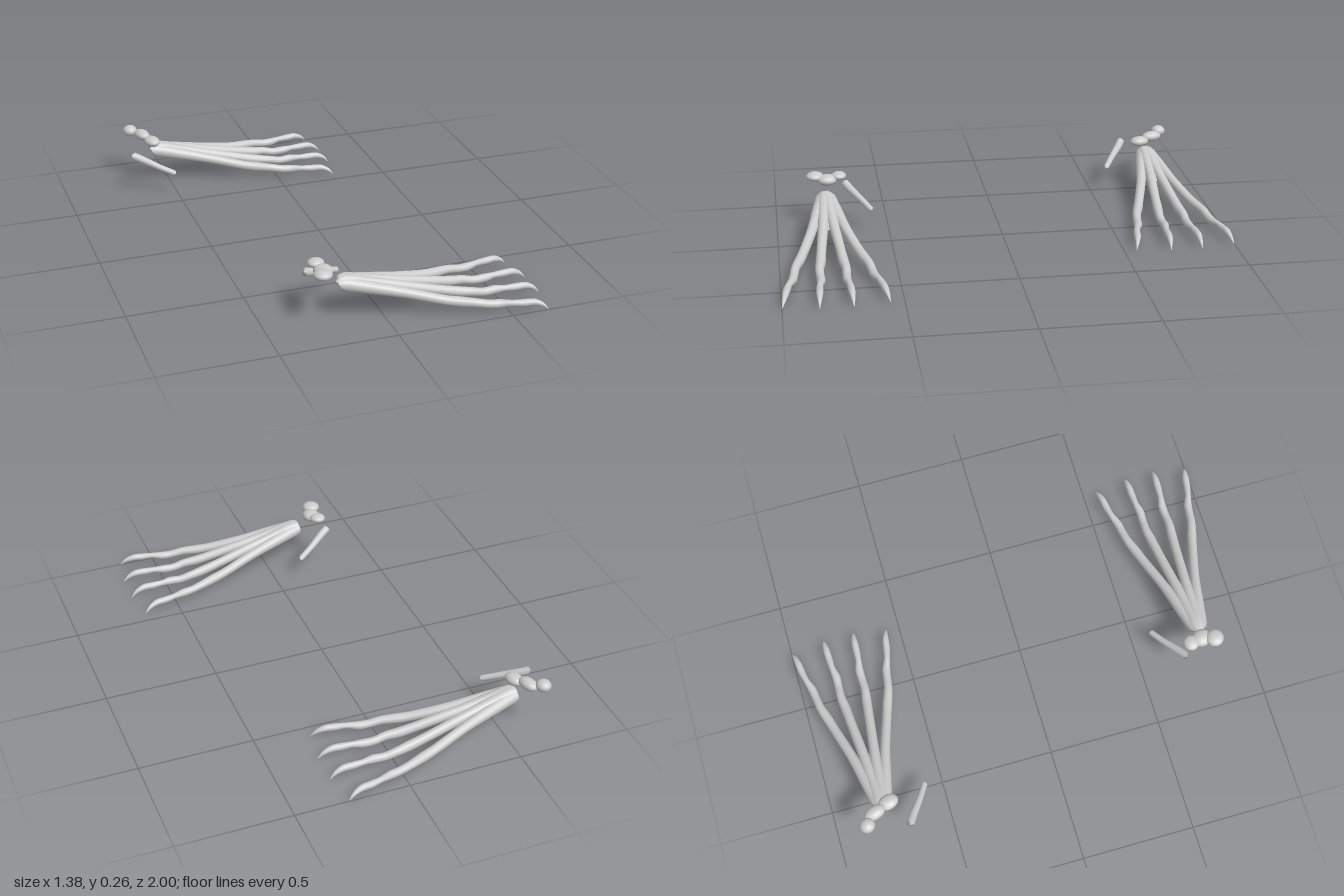
import * as THREE from 'three';

const material = new THREE.MeshStandardMaterial({ color: 0xcccccc, side: THREE.DoubleSide });

// Round bone swept through stations [x, y, z, radius]; s mirrors it in z
function bone(name, stations, s, steps = 48, sides = 14) {
  const path = new THREE.CatmullRomCurve3(stations.map(p => new THREE.Vector3(p[0], p[1], p[2] * s)));
  const radii = stations.map(p => p[3]);
  const geo = new THREE.TubeGeometry(path, steps, 1, sides);
  const pos = geo.attributes.position;
  const v = new THREE.Vector3();
  for (let i = 0; i <= steps; i++) {
    const c = path.getPointAt(i / steps);
    const t = path.getUtoTmapping(i / steps) * (radii.length - 1);
    const k = Math.min(Math.floor(t), radii.length - 2);
    const r = THREE.MathUtils.lerp(radii[k], radii[k + 1], t - k);
    for (let j = 0; j <= sides; j++) {
      const n = i * (sides + 1) + j;
      v.fromBufferAttribute(pos, n).sub(c).multiplyScalar(r).add(c);
      pos.setXYZ(n, v.x, v.y, v.z);
    }
  }
  const mesh = new THREE.Mesh(geo, material);
  mesh.name = name;
  return mesh;
}

// Small rounded ankle bone: centre, half sizes, turn about y
function pebble(name, [x, y, z], [a, b, c], turn) {
  const mesh = new THREE.Mesh(new THREE.SphereGeometry(1, 16, 12), material);
  mesh.position.set(x, y, z);
  mesh.scale.set(a, b, c);
  mesh.rotation.y = turn;
  mesh.name = name;
  return mesh;
}

const MID = 0.778; // centre line of a foot

// Toe stations, with z measured outward from the centre line
const OUTER = [
  [-0.183, 0.162, 0.012, 0.004], [-0.176, 0.163, 0.014, 0.024], [-0.15, 0.16, 0.018, 0.031],
  [-0.05, 0.139, 0.042, 0.027], [0.085, 0.108, 0.074, 0.022], [0.245, 0.07, 0.12, 0.021],
  [0.30, 0.062, 0.136, 0.022], [0.365, 0.055, 0.156, 0.019], [0.42, 0.045, 0.165, 0.018],
  [0.46, 0.043, 0.171, 0.019], [0.51, 0.045, 0.187, 0.013], [0.555, 0.043, 0.197, 0.016],
  [0.60, 0.043, 0.204, 0.015], [0.635, 0.03, 0.212, 0.009], [0.66, 0.008, 0.22, 0.001],
];
const INNER = [
  [-0.183, 0.165, 0.004, 0.004], [-0.176, 0.166, 0.004, 0.027], [-0.15, 0.166, 0.006, 0.034],
  [-0.05, 0.145, 0.014, 0.029], [0.06, 0.122, 0.023, 0.023], [0.245, 0.078, 0.041, 0.021],
  [0.33, 0.06, 0.049, 0.022], [0.39, 0.052, 0.056, 0.019], [0.44, 0.042, 0.055, 0.018],
  [0.49, 0.044, 0.054, 0.019], [0.535, 0.046, 0.061, 0.013], [0.58, 0.046, 0.064, 0.016],
  [0.625, 0.046, 0.066, 0.015], [0.66, 0.032, 0.068, 0.009], [0.685, 0.008, 0.07, 0.001],
];
// Slim bone that trails beside the ankle
const SPUR = [
  [-0.296, 0.186, 0.687, 0.002], [-0.291, 0.184, 0.684, 0.018], [-0.26, 0.171, 0.667, 0.018],
  [-0.18, 0.138, 0.615, 0.014], [-0.12, 0.115, 0.58, 0.013], [-0.114, 0.112, 0.576, 0.002],
];

function foot(name, s, shift) {
  const g = new THREE.Group();
  g.name = name;
  for (const [label, shape] of [['outerToe', OUTER], ['middleToe', INNER]]) {
    for (const side of [-1, 1]) {
      const stations = shape.map(([x, y, z, r]) => [x, y, MID + side * z, r]);
      g.add(bone(label + (side > 0 ? 'Far' : 'Near'), stations, s, 80));
    }
  }
  // Flattened filling between the toe roots
  const palm = bone('palm', [
    [-0.16, 0.16, 0, 0.012], [-0.1, 0.15, 0, 0.026], [0, 0.127, 0, 0.033], [0.05, 0.116, 0, 0.03], [0.08, 0.108, 0, 0.008],
  ], s, 24);
  palm.geometry.scale(1, 1, 1.7);
  palm.geometry.computeVertexNormals();
  palm.position.z = MID * s;
  // Thinned in height along its own slope
  const p = palm.geometry.attributes.position;
  for (let i = 0; i < p.count; i++) {
    const axis = 0.126 - 0.22 * p.getX(i);
    p.setY(i, axis + (p.getY(i) - axis) * 0.6);
  }
  palm.geometry.computeVertexNormals();
  g.add(palm, bone('spurBone', SPUR, s, 30));
  g.position.x = shift;
  return g;
}

export function createModel() {
  const model = new THREE.Group();
  model.name = 'skeletalFeet';

  const frontFoot = foot('frontFoot', 1, 0);
  frontFoot.add(
    pebble('ankleBoneInner', [-0.254, 0.234, 0.712], [0.036, 0.019, 0.034], 0),
    pebble('ankleBoneMiddle', [-0.24, 0.222, 0.765], [0.04, 0.025, 0.045], 0.2),
    pebble('ankleBoneOuter', [-0.26, 0.234, 0.82], [0.04, 0.021, 0.04], 0),
  );

  const backFoot = foot('backFoot', -1, -0.395);
  backFoot.add(
    pebble('ankleBoneInner', [-0.182, 0.216, -0.752], [0.034, 0.023, 0.046], 0.25),
    pebble('ankleBoneMiddle', [-0.214, 0.228, -0.818], [0.031, 0.024, 0.049], 0.3),
    pebble('ankleBoneOuter', [-0.262, 0.238, -0.862], [0.033, 0.026, 0.034], 0.4),
  );

  model.add(frontFoot, backFoot);
  return model;
}
